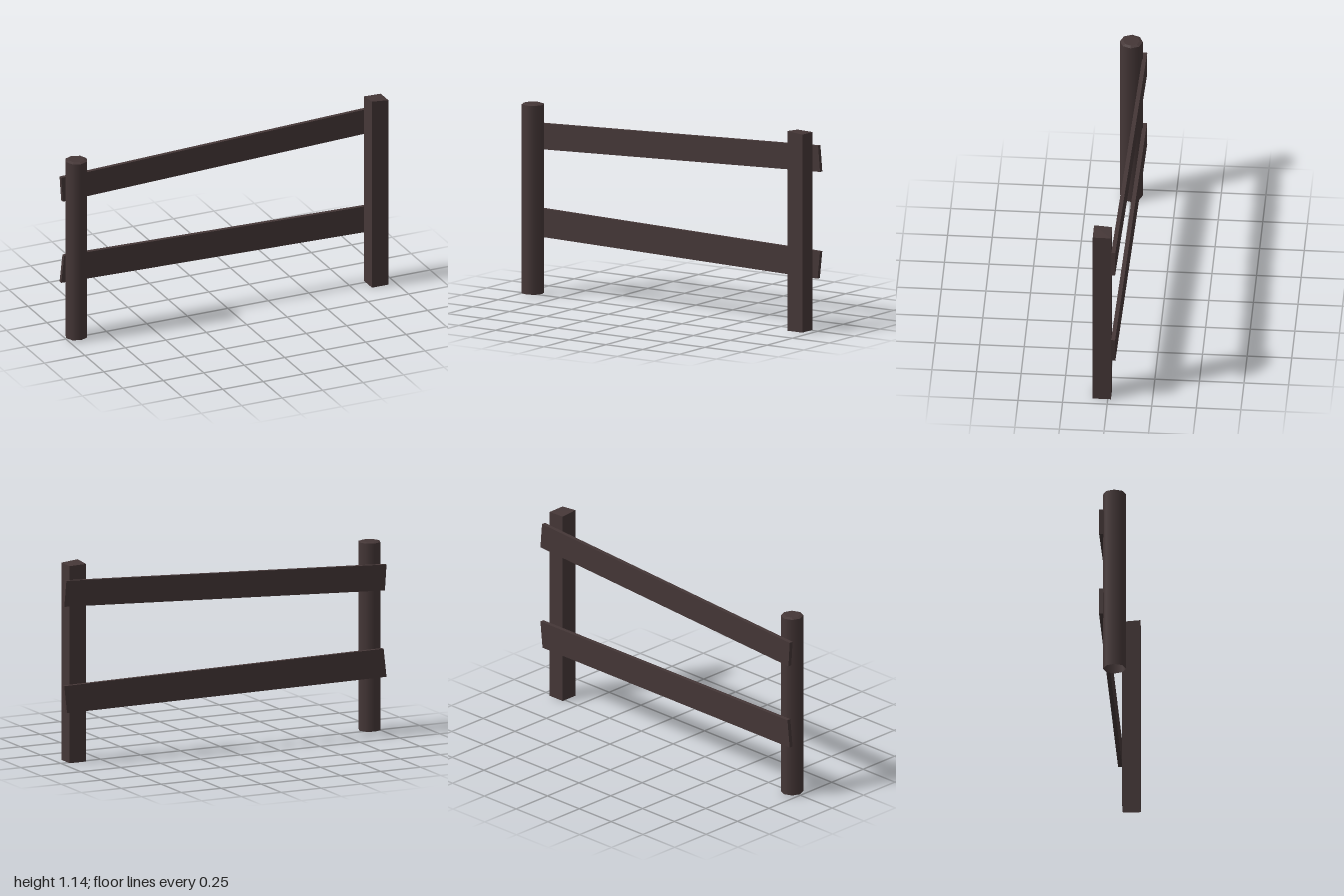
import * as THREE from 'three';

// Six-sided block from 8 corners: 4 at the back then 4 at the front,
// each ordered lower -x, lower +x, upper +x, upper -x.
function block(corners, openBottom = false) {
  const faces = [[4, 5, 6, 7], [1, 0, 3, 2], [5, 1, 2, 6], [0, 4, 7, 3], [7, 6, 2, 3]];
  if (!openBottom) faces.push([0, 1, 5, 4]);
  const pos = [];
  for (const [a, b, c, d] of faces) {
    for (const i of [a, b, c, a, c, d]) pos.push(...corners[i]);
  }
  const geo = new THREE.BufferGeometry();
  geo.setAttribute('position', new THREE.Float32BufferAttribute(pos, 3));
  geo.computeVertexNormals();
  return geo;
}

export function createModel() {
  const model = new THREE.Group();
  model.name = 'fence';
  const wood = new THREE.MeshStandardMaterial({ color: 0x453737, side: THREE.DoubleSide });
  wood.name = 'dark wood';

  function add(name, geo, parent = model) {
    const mesh = new THREE.Mesh(geo, wood);
    mesh.name = name;
    parent.add(mesh);
    return mesh;
  }

  // Round post: smooth octagonal shaft, open below, with a slightly raised top
  const roundPost = new THREE.Group();
  roundPost.name = 'roundPost';
  roundPost.position.x = -0.936;
  model.add(roundPost);
  add('roundPostShaft', new THREE.CylinderGeometry(0.064, 0.064, 1.076, 8, 1, true), roundPost).position.y = 0.545;
  const cap = new THREE.CylinderGeometry(0.046, 0.064, 0.006, 8, 1, true).toNonIndexed();
  cap.computeVertexNormals();
  add('roundPostBevel', cap, roundPost).position.y = 1.086;
  const top = add('roundPostTop', new THREE.CircleGeometry(0.046, 8), roundPost);
  top.rotation.x = -Math.PI / 2;
  top.position.y = 1.089;

  // Square post with an unevenly cut top, open below
  const [l, r, b, f] = [0.851, 0.953, -0.018, 0.084];
  add('squarePost', block([
    [l, 0, b], [r, 0, b], [r, 1.127, b], [l, 1.13, b],
    [l, 0, f], [r, 0, f], [r, 1.128, f], [l, 1.138, f],
  ], true));

  // Rails: slanting boards with obliquely sawn ends.
  // Outline runs lower -x, lower +x, upper +x, upper -x.
  const rails = {
    upperRail: [[-0.99, 0.814], [1, 0.904], [0.987, 1.051], [-1, 0.961]],
    lowerRail: [[-1, 0.319], [0.983, 0.294], [1, 0.45], [-0.982, 0.481]],
  };
  for (const [name, outline] of Object.entries(rails)) {
    const layer = (offset) => outline.map(([x, y]) => [x, y, -0.053 + 0.02 * x + offset]);
    add(name, block([...layer(-0.0115), ...layer(0.0115)]));
  }

  return model;
}
